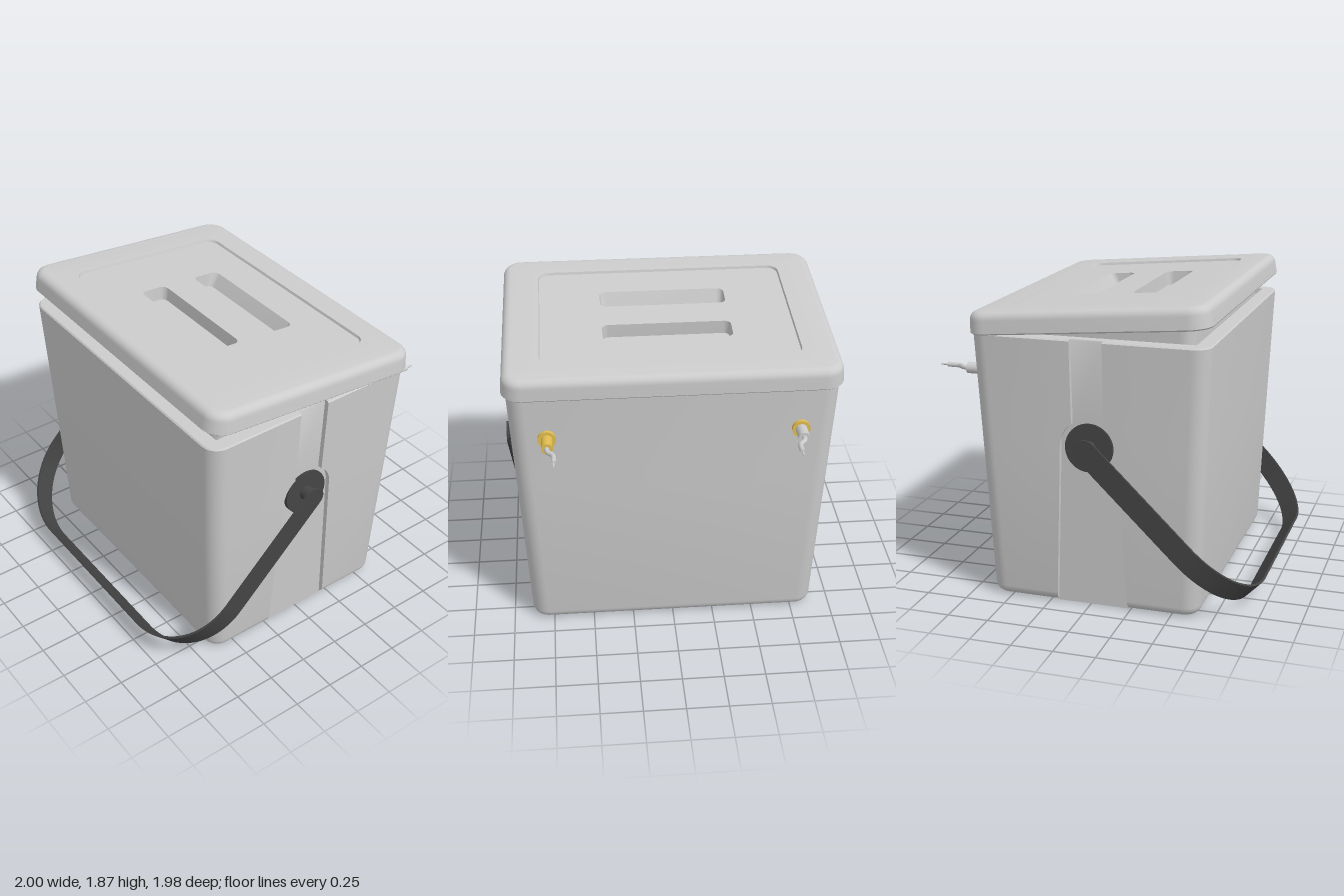
import * as THREE from 'three';
import { toCreasedNormals } from 'three/addons/utils/BufferGeometryUtils.js';

const grey = new THREE.MeshStandardMaterial({ color: 0xcccccc });
const dark = new THREE.MeshStandardMaterial({ color: 0x444444 });
const brass = new THREE.MeshStandardMaterial({ color: 0xe0bc50 });

function add(parent, name, geometry, material = grey) {
  const mesh = new THREE.Mesh(geometry, material);
  mesh.name = name;
  parent.add(mesh);
  return mesh;
}

// Horizontal rounded rectangle; an optional notch { w, x } cuts both x sides
function ring(hx, hz, r, y, cz = 0, notch = null) {
  const pts = [];
  const p = (x, z) => pts.push(new THREE.Vector3(x, y, cz + z));
  for (let k = 0; k < 4; k++) {
    const sx = k === 0 || k === 3 ? 1 : -1, sz = k < 2 ? 1 : -1;
    for (let i = 0; i <= 8; i++) {
      const a = (k + i / 8) * Math.PI / 2;
      p(sx * (hx - r) + r * Math.cos(a), sz * (hz - r) + r * Math.sin(a));
    }
    if (notch && k % 2 === 1) {
      const s = sx, e = -sx * notch.w; // k=1 runs +z to -z, k=3 runs -z to +z
      p(s * hx, e); p(s * notch.x, e); p(s * notch.x, -e); p(s * hx, -e);
    }
  }
  return pts;
}

// Skin a stack of rings, with flat caps on the first and last
function loft(rings, capFirst = true, capLast = true) {
  const pos = [], n = rings[0].length;
  const tri = (...v) => v.forEach(q => pos.push(q.x, q.y, q.z));
  for (let i = 0; i + 1 < rings.length; i++) {
    for (let j = 0; j < n; j++) {
      const k = (j + 1) % n, a = rings[i], b = rings[i + 1];
      tri(a[j], b[j], a[k]);
      tri(b[j], b[k], a[k]);
    }
  }
  const cap = (pts, up) => {
    const c = pts.reduce((s, v) => s.add(v), new THREE.Vector3()).divideScalar(n);
    for (let j = 0; j < n; j++) {
      const k = (j + 1) % n;
      if (up) tri(c, pts[k], pts[j]); else tri(c, pts[j], pts[k]);
    }
  };
  if (capFirst) cap(rings[0], false);
  if (capLast) cap(rings[rings.length - 1], true);
  const g = new THREE.BufferGeometry();
  g.setAttribute('position', new THREE.Float32BufferAttribute(pos, 3));
  return toCreasedNormals(g, 0.5);
}

// Tapered bucket, with a recessed arch and strip on each side
function bucket() {
  const H = 1.635, pivotY = 1, arch = 0.17, strip = 0.0975;
  const section = (y, inset, depth) => {
    const t = y / H, hx = 0.88 + 0.08 * t, hz = 0.645 + 0.0625 * t;
    const w = y <= pivotY ? 0.22 - 0.05 * y
      : Math.max(strip, Math.sqrt(Math.max(0, arch * arch - (y - pivotY) ** 2)));
    return ring(hx - inset, hz - inset, 0.1 - inset, y, 0.016, { w, x: hx - depth });
  };
  const rings = [];
  for (let i = 0; i <= 6; i++) {
    const a = i / 6 * Math.PI / 2;
    rings.push(section(0.06 * (1 - Math.cos(a)), 0.06 * (1 - Math.sin(a)), 0.03));
  }
  const archTop = Math.sqrt(arch * arch - strip * strip);
  for (let i = 0; i <= 10; i++) rings.push(section(pivotY + archTop * i / 10, 0, 0.03));
  rings.push(section(H - 0.008, 0, 0.03), section(H, 0.008, 0.034));
  // rim, inner wall and floor
  rings.push(section(H, 0.09, 0.091), section(0.08, 0.09, 0.091));
  return loft(rings);
}

function lid() {
  const g = new THREE.Group();
  g.name = 'lid';
  const T = 0.13, panelY = T - 0.015, f = 0.05;
  const rings = [ring(0.978, 0.713, 0.12, 0), ring(0.985, 0.72, 0.12, 0.008)];
  for (let i = 0; i <= 6; i++) {
    const a = i / 6 * Math.PI / 2, inset = 0.006 + f * (1 - Math.cos(a));
    rings.push(ring(0.985 - inset, 0.72 - inset, 0.12 - inset, T - f + f * Math.sin(a)));
  }
  rings.push(ring(0.76, 0.525, 0.07, T), ring(0.755, 0.52, 0.065, panelY));
  add(g, 'lidShell', loft(rings, true, false));

  // sunken panel with two grip slots, whose outer walls slope
  const flat = pts => pts.map(v => new THREE.Vector2(v.x, -v.z));
  const panel = new THREE.Shape(flat(ring(0.755, 0.52, 0.065, 0)));
  for (const s of [1, -1]) {
    const mouth = ring(0.385, 0.0875, 0.04, panelY, s * 0.195);
    const floor = ring(0.38, 0.0675, 0.035, 0.03, s * 0.176);
    panel.holes.push(new THREE.Path(flat(mouth)));
    add(g, 'gripSlot', loft([mouth, floor], false, true));
  }
  add(g, 'lidPanel', new THREE.ShapeGeometry(panel).rotateX(-Math.PI / 2).translate(0, panelY, 0));

  // plug that fits into the bucket
  add(g, 'lidPlug', loft([ring(0.84, 0.585, 0.08, -0.18), ring(0.855, 0.6, 0.08, 0.01)]));
  g.position.set(0, 1.682, 0.012);
  g.rotation.x = -0.085;
  return g;
}

// U-shaped strap hanging forward from the two pivots
function handle() {
  const g = new THREE.Group();
  g.name = 'handle';
  const L = 1.285, R = 0.48, t = 0.014, W = 0.138;
  const s = new THREE.Shape();
  s.moveTo(-1, 0);
  s.lineTo(-1, -L + R);
  s.absarc(-1 + R, -L + R, R, Math.PI, Math.PI * 1.5, false);
  s.lineTo(1 - R, -L);
  s.absarc(1 - R, -L + R, R, -Math.PI / 2, 0, false);
  s.lineTo(1, 0);
  s.lineTo(1 - t, 0);
  s.lineTo(1 - t, -L + R);
  s.absarc(1 - R, -L + R, R - t, 0, -Math.PI / 2, true);
  s.lineTo(-1 + R, -L + t);
  s.absarc(-1 + R, -L + R, R - t, Math.PI * 1.5, Math.PI, true);
  s.lineTo(-1 + t, 0);
  s.closePath();
  const strap = new THREE.ExtrudeGeometry(s, { depth: W, bevelEnabled: false, curveSegments: 24 });
  add(g, 'strap', toCreasedNormals(strap.translate(0, 0, -W / 2), 0.5), dark);
  for (const side of [1, -1]) {
    const end = new THREE.CylinderGeometry(W / 2, W / 2, t, 32).rotateZ(Math.PI / 2);
    add(g, 'strapEnd', end.translate(side * (1 - t / 2), 0, 0), dark);
  }
  g.position.set(0, 1, 0.018);
  g.rotation.x = -0.8;
  return g;
}

// Pipe fitting on the back wall; side is the sign of x
function fitting(side) {
  const g = new THREE.Group();
  g.name = side > 0 ? 'leftFitting' : 'rightFitting';
  const rod = (name, r, z0, z1, x, mat) => add(g, name,
    new THREE.CylinderGeometry(r, r, z0 - z1, 24).rotateX(Math.PI / 2).translate(x, 0, (z0 + z1) / 2), mat);
  rod('flange', 0.053, -0.66, -0.705, 0, brass);
  rod('sleeve', 0.034, -0.66, -0.8, 0, side > 0 ? brass : grey);
  const dx = -side * 0.036;
  const path = new THREE.CatmullRomCurve3([[0, -0.78], [0, -0.815], [dx * 0.2, -0.835],
    [dx * 0.8, -0.86], [dx, -0.88], [dx, -0.945]].map(([x, z]) => new THREE.Vector3(x, 0, z)));
  add(g, 'bentTube', new THREE.TubeGeometry(path, 32, 0.015, 12));
  rod('tubeEnd', 0.015, -0.94, -0.946, dx, grey);
  rod('tip', 0.006, -0.94, -0.99, dx, grey);
  g.position.set(side * 0.735, 1.37, 0);
  return g;
}

export function createModel() {
  const model = new THREE.Group();
  model.name = 'lidded bucket';
  add(model, 'bucket', bucket());
  model.add(lid(), handle());
  for (const side of [1, -1]) {
    // pivot boss lying on the sloping side, and its pin
    const boss = add(model, 'pivotBoss', new THREE.CylinderGeometry(0.143, 0.143, 0.03, 48), dark);
    boss.rotation.z = -side * (Math.PI / 2 - 0.049);
    boss.position.set(side * 0.908, 1, 0.018);
    const pin = add(model, 'pivotPin', new THREE.CylinderGeometry(0.045, 0.045, 0.1, 24), dark);
    pin.rotation.z = Math.PI / 2;
    pin.position.set(side * 0.945, 1, 0.018);
    model.add(fitting(side));
  }
  return model;
}
